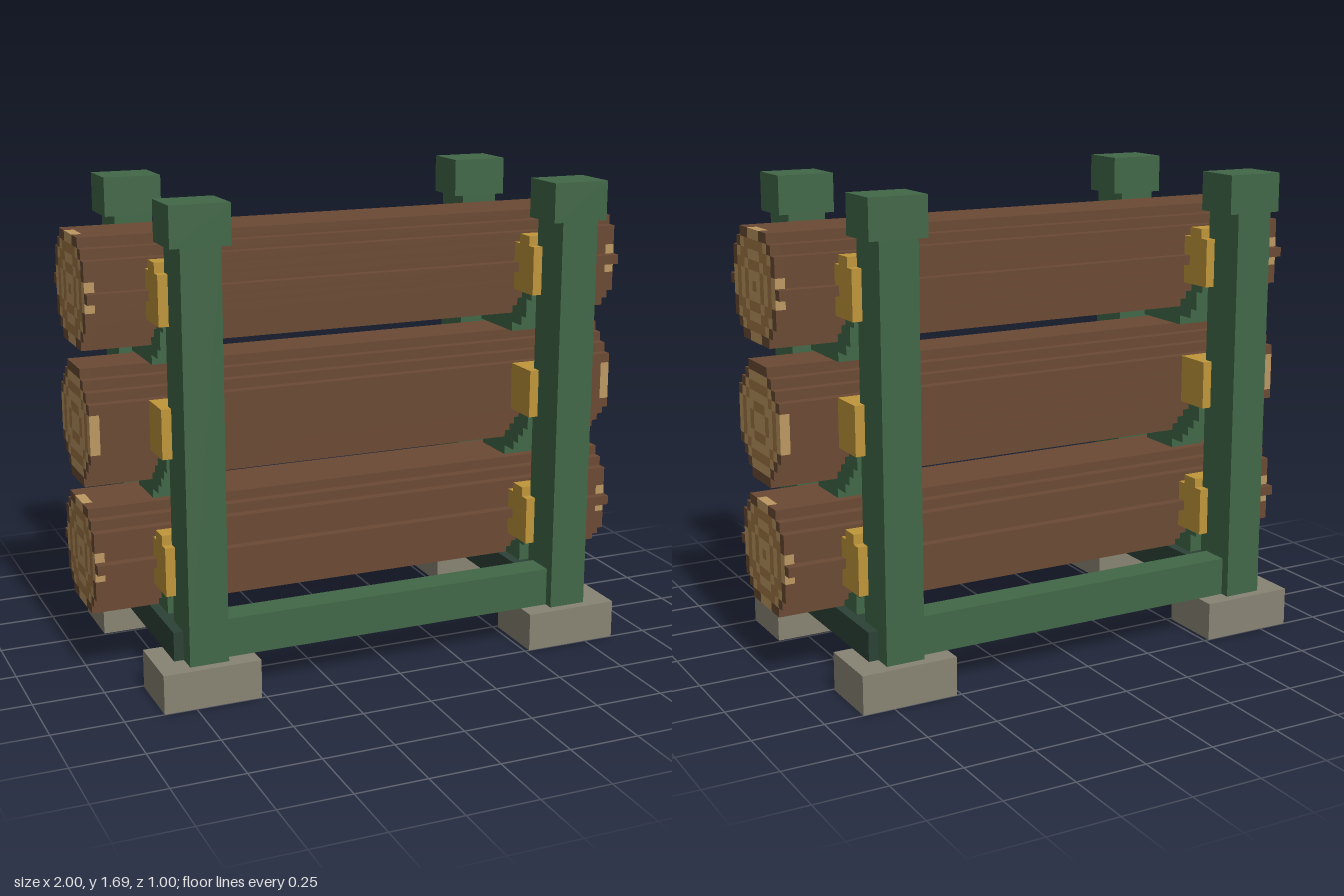
import * as THREE from 'three';
import { mergeGeometries } from 'three/addons/utils/BufferGeometryUtils.js';

const U = 2 / 58; // one block

const mat = (name, hex) => {
  const m = new THREE.MeshStandardMaterial({ color: hex });
  m.name = name;
  return m;
};

// box from minimum and maximum corners, in blocks
function block(x0, x1, y0, y1, z0, z1) {
  const g = new THREE.BoxGeometry((x1 - x0) * U, (y1 - y0) * U, (z1 - z0) * U);
  g.translate((x0 + x1) / 2 * U, (y0 + y1) / 2 * U, (z0 + z1) / 2 * U);
  return g;
}

// stepped prism along x: rows of { y, h } from bottom to top, each one block tall
function steppedPrism(rows, x0, x1) {
  const right = [];
  for (const { y, h } of rows) right.push([h, y], [h, y + 1]);
  const left = right.map(([h, y]) => [-h, y]).reverse();
  const pts = [...right, ...left].map(([h, y]) => new THREE.Vector2(h * U, y * U));
  const g = new THREE.ExtrudeGeometry(new THREE.Shape(pts), { depth: (x1 - x0) * U, bevelEnabled: false });
  g.rotateY(Math.PI / 2);
  g.translate(x0 * U, 0, 0);
  return g;
}

// half width, in blocks, of a disc of radius r at height j from its centre
const halfWidth = (r, j) => Math.floor(Math.sqrt(r * r - j * j)) + 0.5;

// rows of a blocky disc between two heights
function discRows(cy, r, from, to) {
  const rows = [];
  for (let j = from; j <= to; j++) rows.push({ y: cy + j - 0.5, h: halfWidth(r, j) });
  return rows;
}

export function createModel() {
  const model = new THREE.Group();
  model.name = 'logRack';
  const green = mat('green frame', 0x426848);
  const darkGreen = mat('dark green beam', 0x2c4236);
  const stone = mat('stone', 0x888474);
  const yellow = mat('yellow pad', 0xc0963a);
  const bark = mat('bark', 0x6b4a34);
  const lightWood = mat('light wood', 0xbc9862);
  const ringWood = mat('ring wood', 0x9f7744);

  const add = (parent, name, geometry, material) => {
    const mesh = new THREE.Mesh(geometry, material);
    mesh.name = name;
    parent.add(mesh);
  };
  // block mirrored to the given sides
  const sided = (sx, sz, x0, x1, y0, y1, z0, z1) => block(
    Math.min(sx * x0, sx * x1), Math.max(sx * x0, sx * x1), y0, y1,
    Math.min(sz * z0, sz * z1), Math.max(sz * z0, sz * z1));

  // centre height and lowest pad row of each log
  const logs = [
    { cy: 12.5, pad: 10, lip: true },
    { cy: 26, pad: 24, lip: false },
    { cy: 39.5, pad: 37, lip: true },
  ];

  // posts with feet, caps and pads
  for (const sx of [-1, 1]) for (const sz of [-1, 1]) {
    const corner = new THREE.Group();
    corner.name = (sz > 0 ? 'front' : 'back') + (sx > 0 ? 'Left' : 'Right') + 'Post';
    add(corner, 'foot', sided(sx, sz, 15, 25, 0, 4, 7.5, 14.5), stone);
    add(corner, 'post', sided(sx, sz, 18, 22, 4, 45, 8.5, 13.5), green);
    add(corner, 'postCap', sided(sx, sz, 17, 23, 45, 49, 8.5, 13.5), green);
    for (const { pad, lip } of logs) {
      add(corner, 'pad', sided(sx, sz, 17, 23, pad, pad + 5, 5.5, 9.5), yellow);
      if (lip) add(corner, 'padLip', sided(sx, sz, 17, 23, pad + 5, pad + 6, 6.5, 8.5), yellow);
    }
    model.add(corner);
  }

  // long rails
  for (const sz of [-1, 1]) {
    add(model, sz > 0 ? 'frontRail' : 'backRail', sided(1, sz, -18, 18, 4, 8, 9.5, 12.5), green);
  }

  // cross beams and cradles
  for (const sx of [-1, 1]) {
    add(model, 'crossBeam', sided(sx, 1, 17, 23, 4, 7, -11.5, 11.5), darkGreen);
    add(model, 'crossBeamKeel', sided(sx, 1, 18, 22, 3, 4, -11.5, 11.5), darkGreen);
    for (const { cy } of logs) {
      const whole = Number.isInteger(cy - 0.5);
      const rows = discRows(cy, 7.95, whole ? -7 : -7.5, whole ? -3 : -2.5);
      add(model, 'cradle', steppedPrism(rows, sx > 0 ? 18 : -22, sx > 0 ? 22 : -18), green);
    }
  }

  // logs with ringed ends
  for (const { cy } of logs) {
    const log = new THREE.Group();
    log.name = 'log';
    const top = Number.isInteger(cy - 0.5) ? 5 : 5.5;
    add(log, 'logBody', steppedPrism(discRows(cy, 6, -top, top), -28, 28), bark);

    const cells = [[], [], []];
    const kind = (i, j) => {
      const r = Math.hypot(i, j);
      return r > 5.3 ? 0 : Math.round(r) % 2 ? 1 : 2;
    };
    for (let j = -top; j <= top; j++) {
      const n = halfWidth(6, j) - 0.5;
      // runs of equal colour become one block
      for (let i = -n; i <= n;) {
        const start = i, k = kind(i, j);
        while (i <= n && kind(i, j) === k) i++;
        for (const x of [-29, 28]) {
          cells[k].push(block(x, x + 1, cy + j - 0.5, cy + j + 0.5, start - 0.5, i - 0.5));
        }
      }
    }
    add(log, 'endBark', mergeGeometries(cells[0]), bark);
    add(log, 'endLightRings', mergeGeometries(cells[1]), lightWood);
    add(log, 'endDarkRings', mergeGeometries(cells[2]), ringWood);
    model.add(log);
  }
  return model;
}
